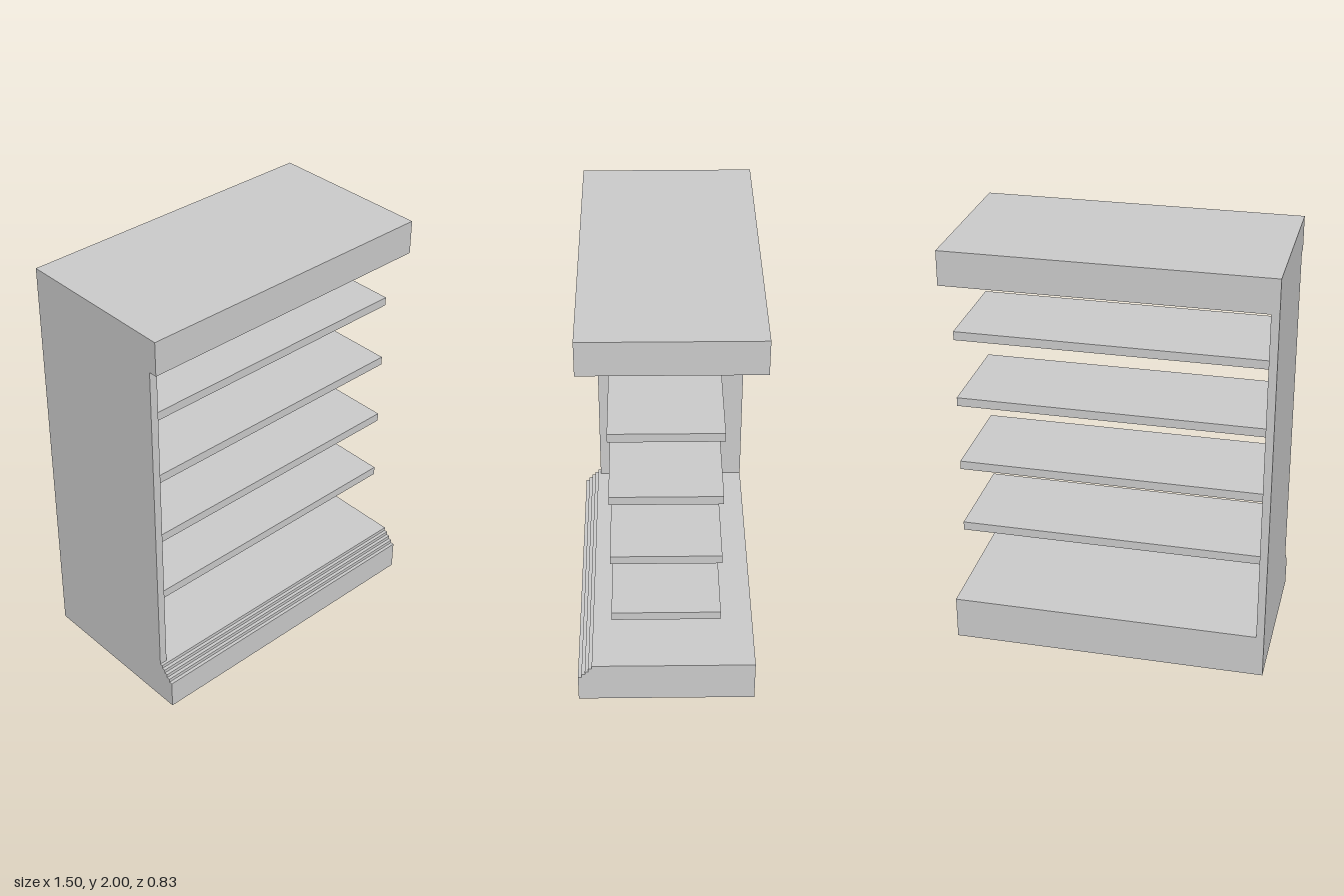
import * as THREE from 'three';

const material = new THREE.MeshStandardMaterial({ color: 0xcccccc, flatShading: true });
const LEFT = 0.75, RIGHT = -0.75, BACK = -0.415, PANEL = 0.037;

// Box given by its limits on each axis
function box(name, [x0, x1], [y0, y1], [z0, z1]) {
  const geometry = new THREE.BoxGeometry(x1 - x0, y1 - y0, z1 - z0);
  const mesh = new THREE.Mesh(geometry, material);
  mesh.position.set((x0 + x1) / 2, (y0 + y1) / 2, (z0 + z1) / 2);
  mesh.name = name;
  return mesh;
}

// Plinth: side profile (z, y) with a small stair along its upper front edge
function plinth() {
  const steps = 4, front = 0.415, stepY = 0.14, rise = 0.0175, run = 0.0165;
  const shape = new THREE.Shape();
  shape.moveTo(BACK, 0);
  shape.lineTo(front, 0);
  shape.lineTo(front, stepY);
  for (let i = 1; i <= steps; i++) {
    shape.lineTo(front - i * run, stepY + (i - 1) * rise);
    shape.lineTo(front - i * run, stepY + i * rise);
  }
  shape.lineTo(BACK, stepY + steps * rise);
  const geometry = new THREE.ExtrudeGeometry(shape, { depth: LEFT - RIGHT, bevelEnabled: false });
  geometry.rotateY(-Math.PI / 2).translate(LEFT, 0, 0);
  const mesh = new THREE.Mesh(geometry, material);
  mesh.name = 'steppedBase';
  return mesh;
}

export function createModel() {
  const group = new THREE.Group();
  group.name = 'shelfUnit';
  group.add(plinth());

  // Canopy and the single upright side panel
  group.add(box('topCanopy', [RIGHT, LEFT], [1.838, 2], [BACK, 0.375]));
  group.add(box('sidePanel', [RIGHT, RIGHT + PANEL], [0.21, 1.838], [BACK, 0.335]));

  // Four evenly spaced shelves held by the side panel
  for (let i = 0; i < 4; i++) {
    const y = 0.503 + i * 0.334;
    group.add(box(`shelf${i + 1}`, [RIGHT + PANEL, LEFT], [y, y + 0.042], [-0.245, 0.25]));
  }
  return group;
}
